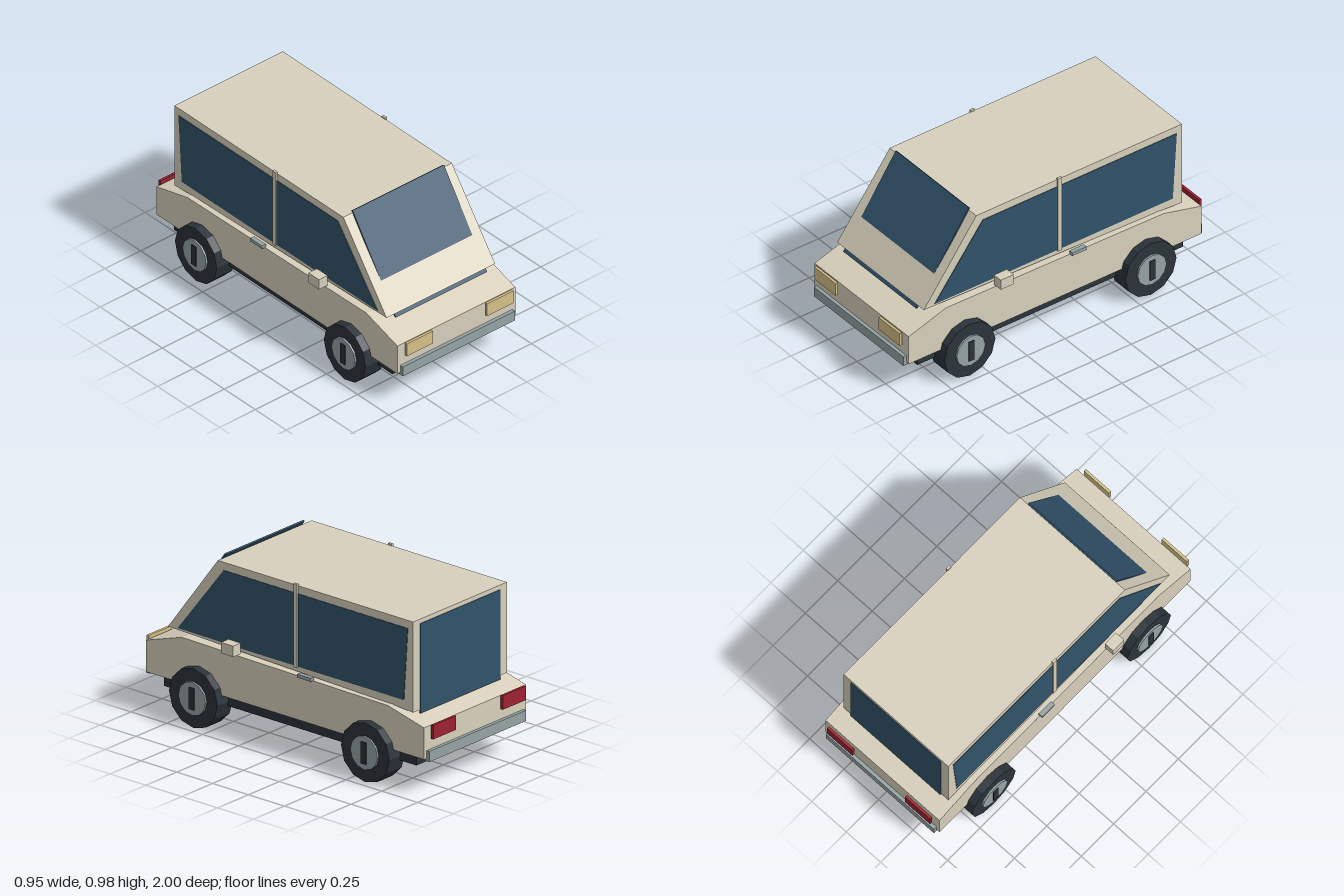
import * as THREE from 'three';

const mat = (name, color) => {
  const m = new THREE.MeshStandardMaterial({ color });
  m.name = name;
  return m;
};

export function createModel() {
  const car = new THREE.Group();
  car.name = 'car';
  const paint = mat('beigePaint', 0xd8d0bc);
  const glass = mat('blueGlass', 0x31526a);
  const rubber = mat('darkRubber', 0x2b333b);
  const chrome = mat('greyChrome', 0x95a3a4);
  const amber = mat('headlightYellow', 0xd6c188);
  const red = mat('tailRed', 0x9e2233);

  const add = (name, geometry, material) => {
    const mesh = new THREE.Mesh(geometry, material);
    mesh.name = name;
    car.add(mesh);
    return mesh;
  };
  // box given by its low and high corner
  const box = (name, material, [x0, y0, z0], [x1, y1, z1]) => {
    const g = new THREE.BoxGeometry(x1 - x0, y1 - y0, z1 - z0);
    g.translate((x0 + x1) / 2, (y0 + y1) / 2, (z0 + z1) / 2);
    return add(name, g, material);
  };
  // side profile of [z, y] points, extruded across x
  const profile = (name, material, points, x0, x1) => {
    const shape = new THREE.Shape(points.map(([z, y]) => new THREE.Vector2(z, y)));
    const g = new THREE.ExtrudeGeometry(shape, { depth: x1 - x0, bevelEnabled: false });
    g.rotateY(-Math.PI / 2).translate(x1, 0, 0);
    return add(name, g, material);
  };

  // body shell, cabin and floor
  profile('lowerBody', paint, [[0.97, 0.21], [0.97, 0.39], [0.72, 0.47], [-0.72, 0.452],
    [-0.97, 0.39], [-0.97, 0.21]], -0.413, 0.413);
  profile('cabin', paint, [[0.845, 0.49], [0.497, 0.955], [-0.866, 0.955], [-0.866, 0.44],
    [-0.72, 0.45]], -0.38, 0.38);
  box('chassis', rubber, [-0.37, 0.14, -0.88], [0.37, 0.215, 0.88]);

  // windscreen, a little steeper than the cabin front, and rear window
  profile('windscreen', glass, [[0.851, 0.468], [0.502, 0.975], [0.494, 0.97], [0.843, 0.463]], -0.32, 0.32);
  box('rearWindow', glass, [-0.325, 0.42, -0.869], [0.325, 0.93, -0.862]);

  // bumpers
  box('frontBumper', chrome, [-0.392, 0.195, 0.96], [0.392, 0.255, 0.99]);
  box('rearBumper', chrome, [-0.392, 0.195, -0.99], [0.392, 0.255, -0.96]);

  for (const [side, s] of [['left', 1], ['right', -1]]) {
    // box mirrored to this side
    const sideBox = (name, m, [x0, y0, z0], [x1, y1, z1]) => box(side + name, m,
      [Math.min(s * x0, s * x1), y0, z0], [Math.max(s * x0, s * x1), y1, z1]);

    // side glass and the post that divides it
    const inner = s * 0.377, outer = s * 0.383;
    profile(side + 'Window', glass, [[0.775, 0.5], [0.455, 0.91], [-0.83, 0.91], [-0.803, 0.496], [0.25, 0.496]],
      Math.min(inner, outer), Math.max(inner, outer));
    sideBox('DoorPost', paint, [0.376, 0.49, -0.064], [0.39, 0.965, -0.038]);

    // mirror, handle and lamps
    sideBox('Mirror', paint, [0.407, 0.478, 0.315], [0.467, 0.54, 0.4]);
    sideBox('DoorHandle', chrome, [0.405, 0.458, -0.195], [0.432, 0.478, -0.1]);
    sideBox('Headlight', amber, [0.19, 0.32, 0.985], [0.373, 0.4, 1]);
    sideBox('TailLight', red, [0.19, 0.32, -1], [0.373, 0.4, -0.985]);

    // wheels with hubcap and centre bar
    for (const [end, z] of [['Front', 0.6], ['Rear', -0.6]]) {
      const disc = (name, m, r, x0, x1) => {
        const g = new THREE.CylinderGeometry(r, r, x1 - x0, 12).toNonIndexed();
        g.computeVertexNormals();
        g.rotateZ(Math.PI / 2).translate(s * (x0 + x1) / 2, 0.169, z);
        add(side + end + name, g, m);
      };
      disc('Tyre', rubber, 0.169, 0.335, 0.46);
      disc('Hubcap', chrome, 0.095, 0.455, 0.471);
      sideBox(end + 'HubBar', rubber, [0.465, 0.108, z - 0.018], [0.477, 0.232, z + 0.018]);
    }
  }
  return car;
}
